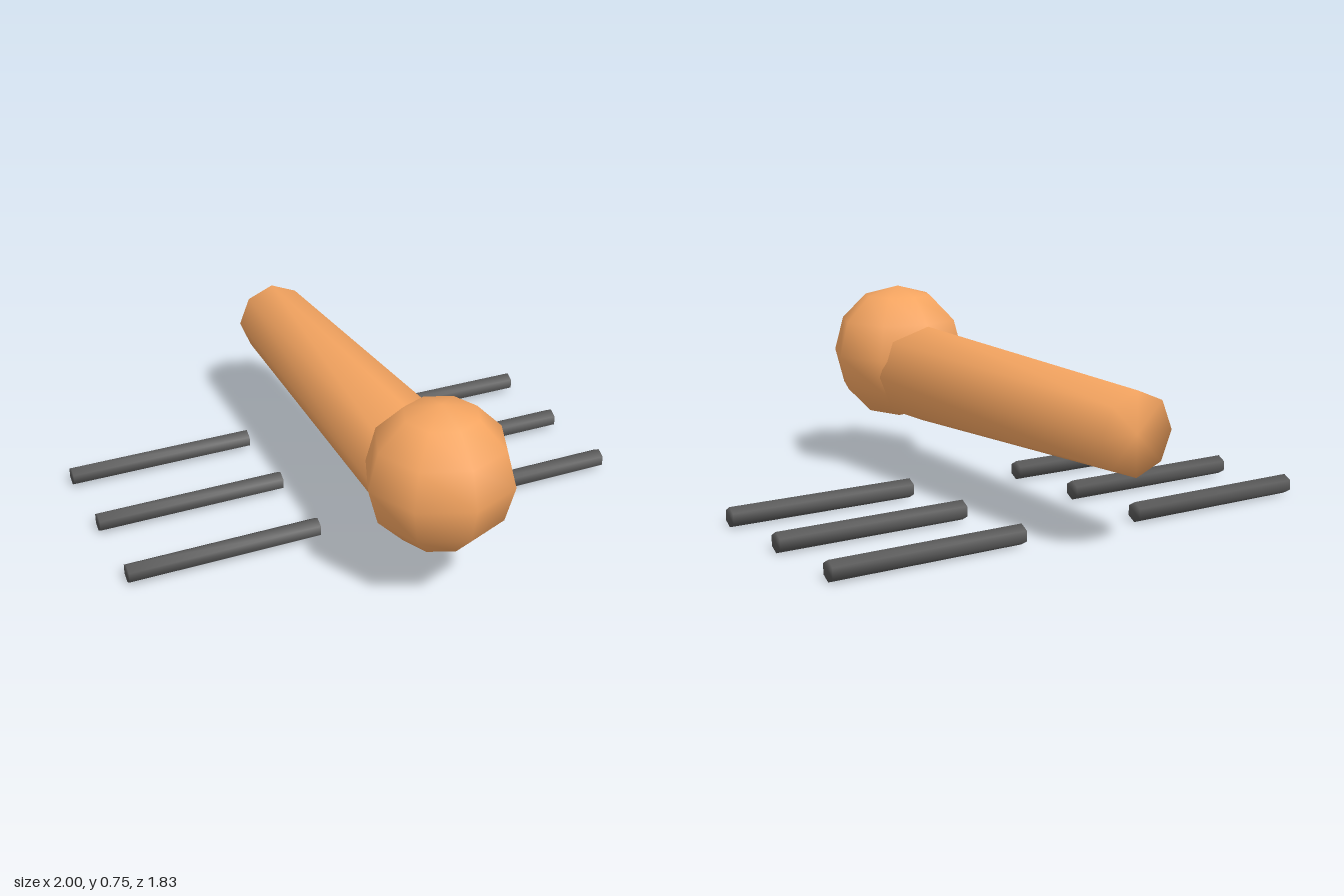
import * as THREE from 'three';
import { mergeVertices } from 'three/addons/utils/BufferGeometryUtils.js';

const tan = new THREE.MeshStandardMaterial({ color: 0xf4a460 });
const dark = new THREE.MeshStandardMaterial({ color: 0x555555 });

// Share vertices between sides and caps so the ends shade softly
function weld(geometry) {
  geometry.deleteAttribute('uv');
  geometry.deleteAttribute('normal');
  const welded = mergeVertices(geometry);
  welded.computeVertexNormals();
  return welded;
}

function addPart(parent, name, geometry, material, x, y, z) {
  const mesh = new THREE.Mesh(geometry, material);
  mesh.name = name;
  mesh.position.set(x, y, z);
  parent.add(mesh);
  return mesh;
}

export function createModel() {
  const model = new THREE.Group();
  model.name = 'lowPolyCreature';

  // Head: low-poly ball
  addPart(model, 'head', new THREE.SphereGeometry(0.273, 8, 6), tan, 0, 0.479, 0.644);

  // Body: eight-sided taper, narrow towards the back
  const front = 0.457, back = -0.917;
  const bodyGeometry = new THREE.CylinderGeometry(0.197, 0.149, front - back, 8);
  bodyGeometry.rotateX(Math.PI / 2);
  addPart(model, 'body', weld(bodyGeometry), tan, 0, 0.415, (front + back) / 2);

  // Legs: three pairs of hexagonal rods lying across the ground
  const legRadius = 0.0375, legInner = 0.25, legOuter = 1;
  const legGeometry = new THREE.CylinderGeometry(
    legRadius, legRadius, legOuter - legInner, 6, 1, false, Math.PI / 2);
  legGeometry.rotateZ(Math.PI / 2);
  const leg = weld(legGeometry);
  const rows = { front: 0.143, middle: -0.233, back: -0.608 };
  for (const [row, z] of Object.entries(rows)) {
    for (const side of [1, -1]) {
      const name = row + (side > 0 ? 'Left' : 'Right') + 'Leg';
      addPart(model, name, leg, dark, side * (legInner + legOuter) / 2, legRadius, z);
    }
  }
  return model;
}
